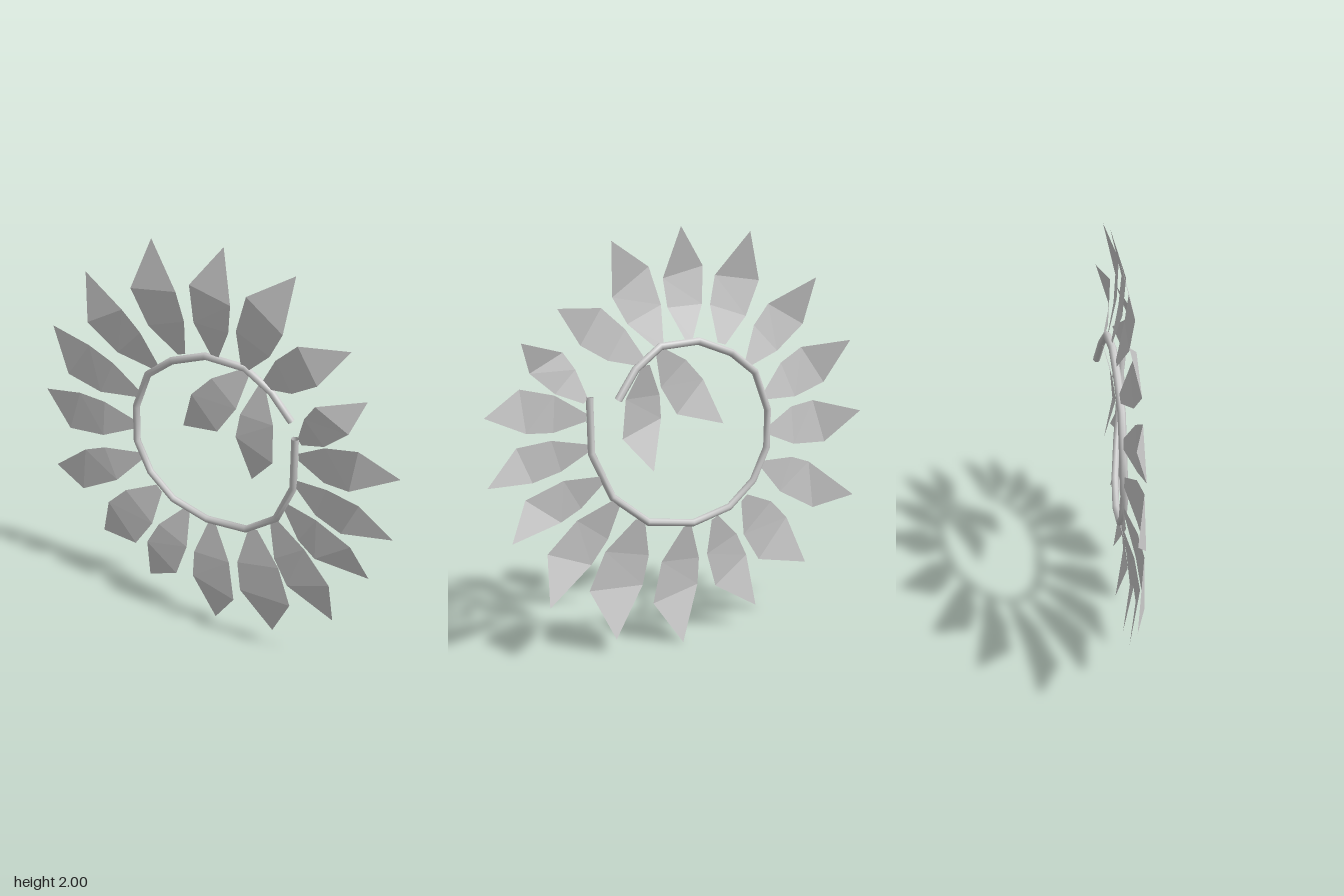
import * as THREE from 'three';

// Open, slightly spiralling stem: corner points x, y, z
const STEM = [
  [0.49, 1.24, 0.045], [0.49, 0.98, 0.035], [0.4, 0.77, 0.01], [0.23, 0.635, -0.015],
  [0, 0.605, -0.03], [-0.2, 0.66, -0.03], [-0.335, 0.78, -0.03], [-0.41, 0.94, -0.03],
  [-0.41, 1.13, -0.035], [-0.335, 1.32, -0.035], [-0.2, 1.42, -0.04], [-0.02, 1.482, -0.045],
  [0.18, 1.465, -0.055], [0.31, 1.37, -0.07], [0.405, 1.24, -0.09],
].map((p) => new THREE.Vector3(...p));

// Straight runs between the corner points
class Polyline extends THREE.Curve {
  getPoint(t, target = new THREE.Vector3()) {
    const f = t * (STEM.length - 1);
    const i = Math.min(Math.floor(f), STEM.length - 2);
    return target.lerpVectors(STEM[i], STEM[i + 1], f - i);
  }
  getPointAt(t, target) { return this.getPoint(t, target); }
  getTangentAt(t, target) { return this.getTangent(t, target); }
}

// Leaves: base x, y, tip x, y, half width, shoulder skew, depth
const OUTER_LEAVES = [
  [0.03, 1.49, 0.07, 2.0, 0.105, 0.04, -0.045],
  [0.18, 1.465, 0.41, 1.93, 0.11, 0.04, -0.05],
  [0.27, 1.395, 0.67, 1.645, 0.095, 0, -0.07],
  [0.51, 1.225, 0.8, 1.495, 0.085, -0.07, 0.04],
  [0.51, 1.15, 0.975, 1.18, 0.1, 0.04, 0.04],
  [0.5, 1.01, 0.975, 0.87, 0.09, 0.02, 0.035],
  [0.445, 0.86, 0.88, 0.61, 0.095, 0.08, 0.015],
  [0.38, 0.75, 0.72, 0.285, 0.11, 0.05, 0],
  [0.27, 0.65, 0.4, 0.075, 0.135, 0.04, -0.01],
  [0.03, 0.59, 0.055, 0, 0.12, 0.06, -0.03],
  [-0.12, 0.615, -0.36, 0.12, 0.11, 0.04, -0.03],
  [-0.285, 0.695, -0.66, 0.305, 0.13, 0.03, -0.03],
  [-0.39, 0.855, -0.955, 0.635, 0.11, 0.1, -0.03],
  [-0.415, 1.025, -0.98, 1.085, 0.115, 0.05, -0.035],
  [-0.395, 1.2, -0.9, 1.455, 0.115, 0.04, -0.035],
  [-0.29, 1.365, -0.675, 1.77, 0.11, 0.06, -0.04],
  [-0.145, 1.465, -0.295, 1.985, 0.12, 0.04, -0.04],
];
const INNER_LEAVES = [
  [0.19, 1.45, -0.15, 1.085, 0.105, 0.02, -0.055],
  [0.26, 1.385, 0.225, 0.89, 0.1, 0.07, -0.07],
];

// A leaf bowed forward at the shoulders, with its tip folded back
function leafGeometry([bx, by, tx, ty, half, skew, z]) {
  const dx = tx - bx, dy = ty - by, len = Math.hypot(dx, dy);
  const nx = -dy / len * half, ny = dx / len * half;
  const at = (t, side, lift) => [bx + dx * t + nx * side, by + dy * t + ny * side, z + lift];
  const points = [
    at(0, 0.18, 0), at(0, -0.18, 0),
    at(0.3, 0.95, 0.04), at(0.3, -0.75, 0.04),
    at(0.6 + skew, 1.2, 0.055), at(0.6 - skew, -0.8, 0.055),
    at(1, 0, 0),
  ];
  const geo = new THREE.BufferGeometry();
  geo.setAttribute('position', new THREE.Float32BufferAttribute(points.flat(), 3));
  geo.setIndex([0, 1, 3, 0, 3, 2, 2, 3, 5, 2, 5, 4, 4, 5, 6]);
  const flat = geo.toNonIndexed();
  flat.computeVertexNormals();
  return flat;
}

export function createModel() {
  const model = new THREE.Group();
  model.name = 'leafWreath';
  const grey = new THREE.MeshStandardMaterial({ color: 0xcccccc, side: THREE.DoubleSide });
  grey.name = 'pale grey';

  const stem = new THREE.Mesh(new THREE.TubeGeometry(new Polyline(), STEM.length - 1, 0.018, 8), grey);
  stem.name = 'stem';
  model.add(stem);

  const addLeaves = (list, name) => {
    const group = new THREE.Group();
    group.name = name;
    for (const spec of list) {
      const leaf = new THREE.Mesh(leafGeometry(spec), grey);
      leaf.name = 'leaf';
      group.add(leaf);
    }
    model.add(group);
  };
  addLeaves(OUTER_LEAVES, 'outerLeaves');
  addLeaves(INNER_LEAVES, 'innerLeaves');
  return model;
}
